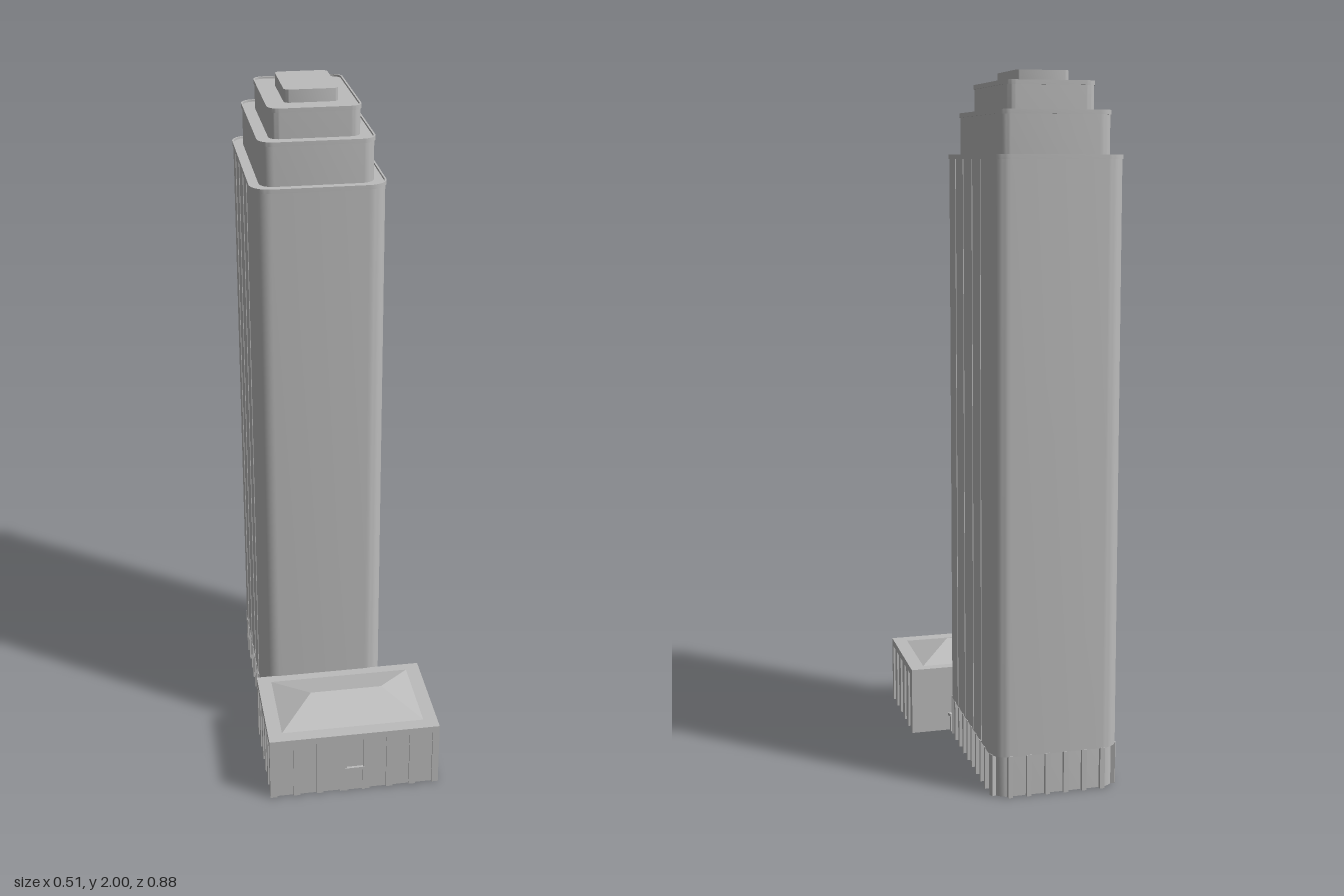
import * as THREE from 'three';
import { toCreasedNormals } from 'three/addons/utils/BufferGeometryUtils.js';

const stone = new THREE.MeshStandardMaterial({ color: 0xbcbcbc });
stone.name = 'grey stone';

// Rounded rectangle in plan; shape y runs along -z
function plan(Type, x0, x1, z0, z1, r) {
  const s = new Type(), a = -z1, b = -z0;
  s.moveTo(x0 + r, a);
  s.lineTo(x1 - r, a);
  if (r) s.absarc(x1 - r, a + r, r, -Math.PI / 2, 0);
  s.lineTo(x1, b - r);
  if (r) s.absarc(x1 - r, b - r, r, 0, Math.PI / 2);
  s.lineTo(x0 + r, b);
  if (r) s.absarc(x0 + r, b - r, r, Math.PI / 2, Math.PI);
  s.lineTo(x0, a + r);
  if (r) s.absarc(x0 + r, a + r, r, Math.PI, Math.PI * 1.5);
  return s;
}

// Upright block from y0 to y1; a wall thickness makes it an open ring
function block(name, [x0, x1, z0, z1], r, y0, y1, wall = 0) {
  const s = plan(THREE.Shape, x0, x1, z0, z1, r);
  if (wall) s.holes.push(plan(THREE.Path, x0 + wall, x1 - wall, z0 + wall, z1 - wall, Math.max(0, r - wall)));
  const g = new THREE.ExtrudeGeometry(s, { depth: y1 - y0, bevelEnabled: false, curveSegments: 5 });
  g.rotateX(-Math.PI / 2).translate(0, y0, 0);
  const m = new THREE.Mesh(toCreasedNormals(g, 0.6), stone);
  m.name = name;
  return m;
}

function box(name, w, h, d, x, y, z) {
  const m = new THREE.Mesh(new THREE.BoxGeometry(w, h, d), stone);
  m.position.set(x, y, z);
  m.name = name;
  return m;
}

const inset = ([x0, x1, z0, z1], d) => [x0 + d, x1 - d, z0 + d, z1 - d];

function makeTower() {
  const tower = new THREE.Group();
  tower.name = 'tower';

  // Stepped tiers, each with a thin raised rim
  const tiers = [
    { name: 'shaft', area: [-0.238, 0.14, -0.44, 0.115], r: 0.055, y0: 0.12, y1: 1.775 },
    { name: 'upperTier', area: [-0.211, 0.113, -0.404, 0.076], r: 0.042, y0: 1.76, y1: 1.892 },
    { name: 'crownTier', area: [-0.178, 0.081, -0.353, 0.027], r: 0.032, y0: 1.88, y1: 1.97 },
  ];
  for (const t of tiers) {
    tower.add(block(t.name, inset(t.area, 0.003), t.r - 0.003, t.y0, t.y1 - 0.006));
    tower.add(block(t.name + 'Rim', t.area, t.r, t.y1 - 0.012, t.y1, 0.005));
  }
  tower.add(block('topCap', [-0.123, 0.027, -0.274, -0.055], 0.016, 1.96, 2));

  // Shallow vertical ribs on the long sides
  for (const x of [-0.235, 0.137])
    for (const z of [-0.31, -0.215, -0.11, -0.015])
      tower.add(box('shaftRib', 0.004, 1.64, 0.005, x, 0.945, z));

  // Hollow base wall ringed by narrow piers
  const area = [-0.238, 0.14, -0.44, 0.115];
  tower.add(block('baseWall', inset(area, 0.013), 0.042, 0, 0.122, 0.008));
  const ring = plan(THREE.Shape, ...inset(area, 0.008), 0.047);
  ring.closePath();
  const count = 32;
  for (let i = 0; i < count; i++) {
    const p = ring.getPointAt(i / count), t = ring.getTangentAt(i / count);
    const pier = box('basePier', 0.014, 0.122, 0.014, p.x, 0.061, -p.y);
    pier.rotation.y = Math.atan2(t.y, t.x);
    tower.add(pier);
  }
  return tower;
}

// Four-sided hipped roof
function hipRoof(x, z0, z1, ridgeX, y0, y1) {
  const zm = (z0 + z1) / 2;
  const a = [-x, y0, z1], b = [x, y0, z1], c = [x, y0, z0], d = [-x, y0, z0];
  const l = [-ridgeX, y1, zm], r = [ridgeX, y1, zm];
  const faces = [a, b, r, a, r, l, c, d, l, c, l, r, b, c, r, d, a, l];
  const g = new THREE.BufferGeometry();
  g.setAttribute('position', new THREE.Float32BufferAttribute(faces.flat(), 3));
  g.computeVertexNormals();
  const m = new THREE.Mesh(g, stone);
  m.name = 'hipRoof';
  return m;
}

function makeAnnex() {
  const annex = new THREE.Group();
  annex.name = 'annex';
  const area = [-0.255, 0.255, 0.11, 0.439];

  // Hollow walls, ceiling slab and roof
  annex.add(block('annexWall', [-0.249, 0.249, 0.11, 0.433], 0, 0, 0.19, 0.006));
  annex.add(block('annexCornice', area, 0, 0.183, 0.204));
  annex.add(hipRoof(0.213, 0.14, 0.4, 0.108, 0.204, 0.245));

  // Pilasters on the front and both ends
  for (let i = 0; i < 8; i++)
    annex.add(box('frontPilaster', 0.02, 0.185, 0.01, -0.245 + i * 0.07, 0.0925, 0.434));
  for (const s of [-1, 1])
    for (let i = 0; i < 6; i++)
      annex.add(box('endPilaster', 0.01, 0.185, 0.02, s * 0.25, 0.0925, 0.12 + i * 0.0618));

  // Front doorway
  for (const s of [-1, 1])
    annex.add(box('doorJamb', 0.008, 0.078, 0.012, s * 0.026, 0.039, 0.435));
  annex.add(box('doorLintel', 0.06, 0.01, 0.014, 0, 0.078, 0.434));
  annex.add(box('doorLeaf', 0.044, 0.072, 0.004, 0, 0.036, 0.434));
  return annex;
}

// Small side entrance where the two buildings meet
function makeSideEntrance() {
  const g = new THREE.Group();
  g.name = 'sideEntrance';
  g.add(box('sideDoor', 0.024, 0.05, 0.006, 0, 0.025, 0));
  g.add(box('sideCanopy', 0.03, 0.008, 0.014, 0, 0.054, 0.002));
  g.position.set(0.126, 0, 0.1);
  g.rotation.y = 0.4;
  return g;
}

export function createModel() {
  const model = new THREE.Group();
  model.name = 'towerBlock';
  model.add(makeTower(), makeAnnex(), makeSideEntrance());
  return model;
}
